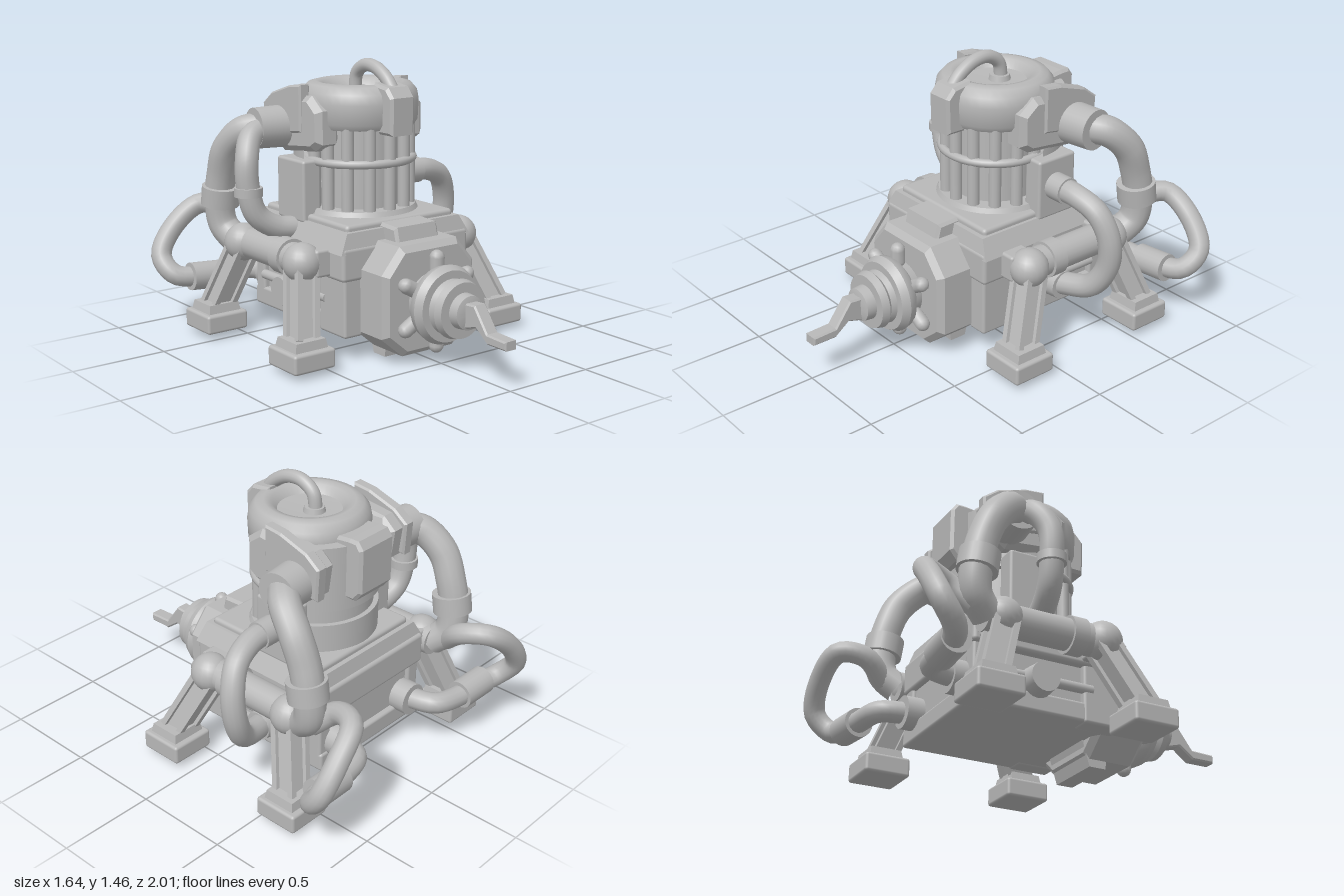
import * as THREE from 'three';
import { toCreasedNormals } from 'three/addons/utils/BufferGeometryUtils.js';
import { RoundedBoxGeometry } from 'three/addons/geometries/RoundedBoxGeometry.js';

const V = (p) => new THREE.Vector3(...p);

export function createModel() {
  const model = new THREE.Group();
  const metal = new THREE.MeshStandardMaterial({ color: 0xb8b8b8 });
  metal.name = 'grey metal';

  const add = (name, geo, pos = [0, 0, 0], parent = model) => {
    const m = new THREE.Mesh(geo, metal);
    m.name = name;
    m.position.set(...pos);
    parent.add(m);
    return m;
  };
  const block = (name, size, pos, r = 0.015) =>
    add(name, new RoundedBoxGeometry(...size, 2, r), pos);

  // box whose top is scaled in x and z
  const taperBox = (w, h, d, sx, sz) => {
    const g = new THREE.BoxGeometry(w, h, d);
    const p = g.attributes.position;
    for (let i = 0; i < p.count; i++) {
      if (p.getY(i) > 0) { p.setX(i, p.getX(i) * sx); p.setZ(i, p.getZ(i) * sz); }
    }
    return toCreasedNormals(g, 0.3);
  };
  // cylinder between two points
  const rod = (name, a, b, r, r2 = r, sides = 20) => {
    const A = V(a), B = V(b), d = B.clone().sub(A);
    const m = add(name, new THREE.CylinderGeometry(r2, r, d.length(), sides));
    m.position.copy(A).add(B).multiplyScalar(0.5);
    m.quaternion.setFromUnitVectors(new THREE.Vector3(0, 1, 0), d.normalize());
    return m;
  };
  const hose = (name, pts, r) =>
    add(name, new THREE.TubeGeometry(new THREE.CatmullRomCurve3(pts.map(V)), 48, r, 14));
  const lathe = (pts, n = 40) =>
    toCreasedNormals(new THREE.LatheGeometry(pts.map((p) => new THREE.Vector2(...p)), n), 0.7);
  const shape = (pts) => new THREE.Shape(pts.map((p) => new THREE.Vector2(...p)));
  // outline in (z, y), given thickness along x
  const slabX = (pts, w, bevel = 0) => {
    const g = new THREE.ExtrudeGeometry(shape(pts), {
      depth: w - 2 * bevel, bevelEnabled: bevel > 0, bevelSize: bevel,
      bevelThickness: bevel, bevelOffset: -bevel, bevelSegments: 1 });
    g.translate(0, 0, -w / 2 + bevel);
    g.rotateY(-Math.PI / 2);
    return g;
  };

  // base housing
  block('baseCore', [0.7, 0.36, 0.74], [0, 0.36, -0.2]);
  block('baseSkid', [0.76, 0.1, 0.82], [0, 0.18, -0.19]);
  block('baseUpper', [0.8, 0.17, 0.83], [0, 0.5, -0.185], 0.02);
  add('baseShoulder', taperBox(0.82, 0.1, 0.82, 0.87, 0.94), [0, 0.605, -0.18]);
  block('deck', [0.68, 0.06, 0.72], [0, 0.655, -0.18], 0.02);
  for (const s of [-1, 1]) {
    block('baseCheek', [0.11, 0.35, 0.22], [s * 0.33, 0.3, 0.11]);
    block('baseRearPost', [0.08, 0.3, 0.08], [s * 0.34, 0.32, -0.55]);
    rod('sideRail', [s * 0.37, 0.3, 0.05], [s * 0.37, 0.3, -0.52], 0.025);
  }

  // octagonal gearbox at the front
  const gearbox = new THREE.ExtrudeGeometry(shape([
    [-0.16, 0.04], [0.16, 0.04], [0.29, 0.15], [0.29, 0.47],
    [0.18, 0.6], [-0.18, 0.6], [-0.29, 0.47], [-0.29, 0.15]]), {
    depth: 0.23, bevelSize: 0.03, bevelThickness: 0.03, bevelOffset: -0.03, bevelSegments: 1 });
  add('gearbox', gearbox, [0, 0, 0.16]);
  add('keel', slabX([[0.12, 0.13], [0.16, 0], [0.25, 0], [0.27, 0.13]], 0.32));
  add('frontTab', slabX([[0.08, 0.55], [0.33, 0.55], [0.3, 0.67], [0.08, 0.68]], 0.27, 0.015));

  // crank wheel with studs and handle
  const wheel = add('crankWheel', lathe([[0.001, 0], [0.14, 0], [0.15, 0.06], [0.19, 0.09], [0.2, 0.13],
    [0.18, 0.17], [0.14, 0.17], [0.13, 0.2], [0.15, 0.22], [0.14, 0.26], [0.09, 0.26],
    [0.085, 0.31], [0.05, 0.32], [0.001, 0.32]]), [0, 0.31, 0.4]);
  wheel.rotation.x = Math.PI / 2;
  for (let i = 0; i < 6; i++) {
    const a = (i * Math.PI) / 3;
    const stud = add('wheelStud', new THREE.CapsuleGeometry(0.038, 0.06, 4, 10),
      [Math.sin(a) * 0.195, 0.31 + Math.cos(a) * 0.195, 0.46]);
    stud.rotation.z = -a;
  }
  add('crankHandle', slabX([[0.64, 0.24], [0.72, 0.24], [0.79, 0.26], [0.87, 0.2], [1, 0.2],
    [1, 0.245], [0.87, 0.25], [0.78, 0.37], [0.64, 0.36]], 0.075, 0.008));

  // caged cylinder
  const CZ = -0.17;
  add('cylinderCore', new THREE.CylinderGeometry(0.21, 0.21, 0.5, 32), [0, 0.9, CZ]);
  add('cylinderFoot', new THREE.CylinderGeometry(0.29, 0.31, 0.04, 40), [0, 0.69, CZ]);
  for (let i = -4; i <= 4; i++) {
    const a = i * 0.44, x = Math.sin(a) * 0.255, z = CZ + Math.cos(a) * 0.255;
    rod('cageBar', [x, 0.67, z], [x, 1.14, z], 0.032, 0.032, 12);
  }
  const ring = add('cageRing', new THREE.TorusGeometry(0.275, 0.022, 10, 48), [0, 0.95, CZ]);
  ring.rotation.x = Math.PI / 2;

  // rear shell in bands
  for (const [r, y0, y1] of [[0.31, 0.67, 0.83], [0.285, 0.83, 0.91], [0.315, 0.91, 1.25]]) {
    add('rearShell', new THREE.CylinderGeometry(r, r, y1 - y0, 28, 1, false, Math.PI / 2, Math.PI),
      [0, (y0 + y1) / 2, -0.22]);
  }
  add('rearBracket', slabX([[-0.48, 0.97], [-0.56, 0.97], [-0.6, 1.02], [-0.6, 1.25], [-0.57, 1.29],
    [-0.52, 1.29], [-0.36, 1.27], [-0.36, 1.2], [-0.48, 1.2]], 0.24, 0.015));

  // dished cap, clasp and carrying loop
  add('cap', lathe([[0.001, 1.12], [0.28, 1.12], [0.3, 1.15], [0.305, 1.25], [0.295, 1.3], [0.265, 1.335],
    [0.225, 1.345], [0.19, 1.335], [0.16, 1.295], [0.001, 1.285]]), [0, 0, CZ]);
  add('capHub', new THREE.CylinderGeometry(0.05, 0.06, 0.04, 20), [0, 1.295, -0.2]);
  add('capClasp', slabX([[0.08, 1.1], [0.19, 1.1], [0.195, 1.29], [0.15, 1.34], [0.04, 1.355], [0.04, 1.28]],
    0.15, 0.015));
  hose('carryLoop', [[0, 1.3, 0.12], [0, 1.37, 0.06], [0, 1.42, -0.03], [0, 1.425, -0.12],
    [0, 1.38, -0.19], [0, 1.28, -0.21]], 0.034);

  for (const s of [-1, 1]) {
    // head side plates and outlets
    add('headSidePlate', slabX([[-0.06, 1.05], [-0.12, 1.01], [-0.4, 0.98], [-0.5, 1.05], [-0.52, 1.2],
      [-0.45, 1.26], [-0.15, 1.29], [-0.06, 1.22]], 0.14, 0.03), [s * 0.27, 0, 0]);
    add('headFin', slabX([[-0.2, 1.1], [-0.53, 1.05], [-0.54, 1.22], [-0.46, 1.28], [-0.3, 1.33],
      [-0.2, 1.34]], 0.065, 0.01), [s * 0.32, 0, 0]);
    rod('outletCollar', [s * 0.3, 1.11, -0.39], [s * 0.49, 1.11, -0.41], 0.11, 0.105, 28);
    block('sideBox', [0.11, 0.32, 0.24], [s * 0.31, 0.8, -0.275]);

    // large exhaust hose with collar
    hose('exhaustHose', [[s * 0.44, 1.11, -0.41], [s * 0.51, 1.09, -0.48], [s * 0.55, 0.99, -0.58],
      [s * 0.55, 0.85, -0.64], [s * 0.55, 0.7, -0.67], [s * 0.535, 0.57, -0.66], [s * 0.5, 0.49, -0.58]], 0.078);
    rod('exhaustCollar', [s * 0.55, 0.68, -0.665], [s * 0.55, 0.78, -0.65], 0.1, 0.1, 24);

    // looping return hose
    hose('returnHose', [[s * 0.52, 0.52, -0.66], [s * 0.475, 0.62, -0.78], [s * 0.53, 0.64, -0.91],
      [s * 0.67, 0.53, -0.95], [s * 0.765, 0.38, -0.93], [s * 0.73, 0.285, -0.85], [s * 0.6, 0.265, -0.81],
      [s * 0.45, 0.26, -0.8], [s * 0.31, 0.27, -0.76], [s * 0.26, 0.27, -0.6]], 0.055);
    rod('returnCoupling', [s * 0.47, 0.26, -0.8], [s * 0.66, 0.27, -0.81], 0.075);
    rod('returnPort', [s * 0.26, 0.27, -0.56], [s * 0.26, 0.27, -0.66], 0.085);
    rod('lowerPort', [s * 0.34, 0.28, -0.25], [s * 0.46, 0.28, -0.25], 0.085, 0.075);

    // leg axle
    rod('legAxle', [s * 0.49, 0.5, 0.06], [s * 0.49, 0.5, -0.6], 0.08);
    rod('axleCollar', [s * 0.49, 0.5, -0.08], [s * 0.49, 0.5, -0.16], 0.095);
    for (const z of [0.05, -0.5]) block('axleMount', [0.16, 0.14, 0.14], [s * 0.4, 0.5, z]);

    // legs and feet
    for (const [hipZ, footZ] of [[0.03, 0.18], [-0.51, -0.62]]) {
      add('hip', new THREE.SphereGeometry(0.1, 20, 14), [s * 0.505, 0.5, hipZ]);
      const leg = new THREE.Group();
      leg.name = 'leg';
      const A = V([s * 0.51, 0.47, hipZ]), B = V([s * 0.615, 0.14, footZ]), d = A.clone().sub(B);
      leg.position.copy(A).add(B).multiplyScalar(0.5);
      leg.quaternion.setFromUnitVectors(new THREE.Vector3(0, 1, 0), d.clone().normalize());
      const L = d.length();
      add('legCore', new THREE.BoxGeometry(0.09, L, 0.09), [0, 0, 0], leg);
      for (const i of [-1, 1]) for (const j of [-1, 1]) {
        add('legRail', new THREE.BoxGeometry(0.03, L, 0.03), [i * 0.05, 0, j * 0.05], leg);
      }
      model.add(leg);
      block('foot', [0.24, 0.1, 0.24], [s * 0.615, 0.08, footZ]);
      add('ankle', taperBox(0.19, 0.05, 0.18, 0.9, 0.9), [s * 0.615, 0.15, footZ]);
    }
  }

  // single feed hose on the left
  rod('feedPort', [0.35, 0.81, -0.26], [0.46, 0.81, -0.26], 0.07);
  hose('feedHose', [[0.4, 0.81, -0.26], [0.52, 0.805, -0.265], [0.64, 0.75, -0.29], [0.7, 0.62, -0.32],
    [0.69, 0.46, -0.33], [0.61, 0.33, -0.3], [0.42, 0.28, -0.25]], 0.06);

  // single bypass hose on the right
  hose('bypassHose', [[-0.44, 1.11, -0.39], [-0.54, 1.08, -0.36], [-0.6, 0.97, -0.31], [-0.6, 0.82, -0.3],
    [-0.56, 0.69, -0.29], [-0.46, 0.62, -0.27], [-0.34, 0.6, -0.25]], 0.06);
  rod('bypassCollar', [-0.6, 0.79, -0.3], [-0.6, 0.835, -0.3], 0.073);

  return model;
}
